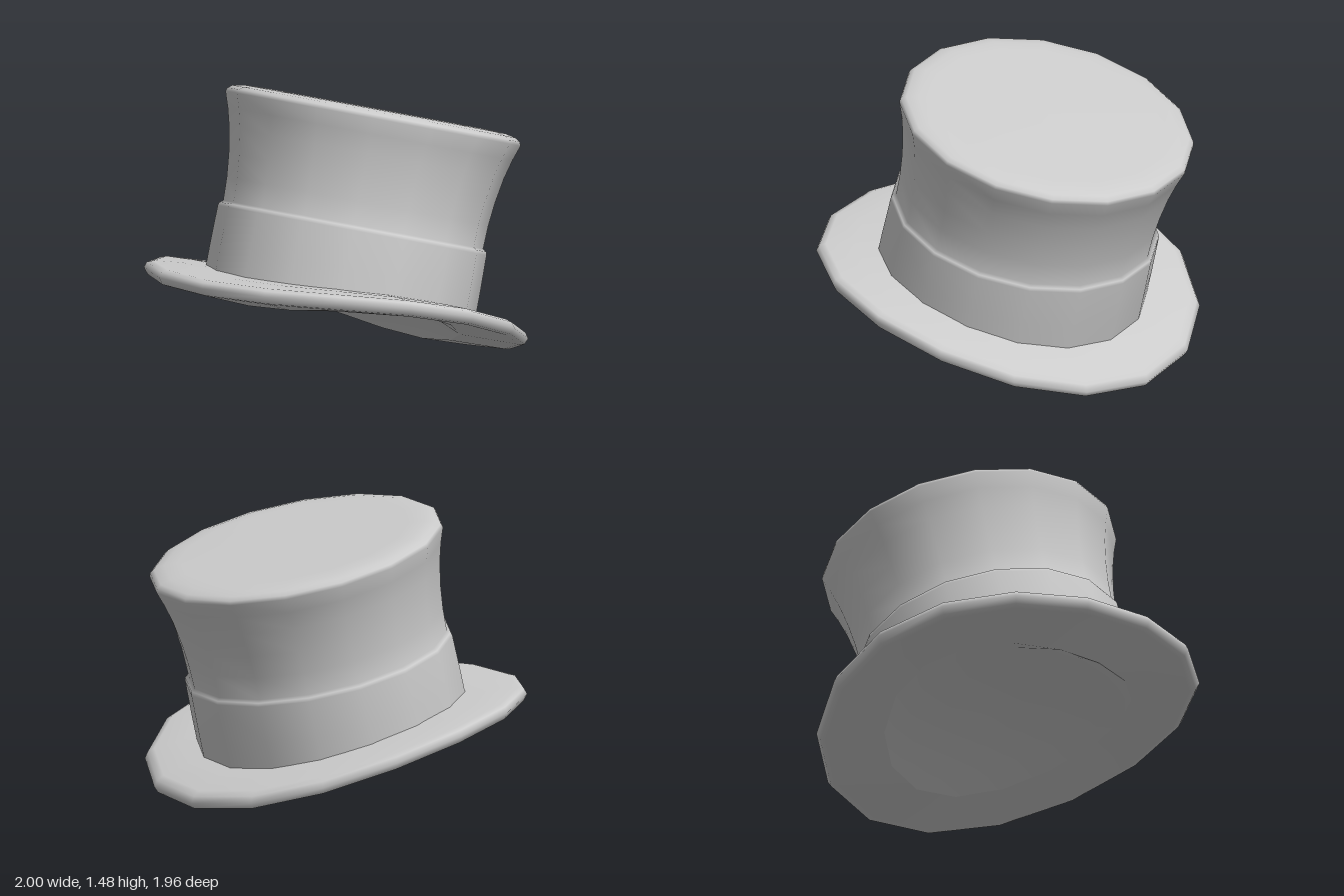
import * as THREE from 'three';

const SIDES = 16;
const material = new THREE.MeshStandardMaterial({ color: 0xcccccc });

// Saddle line of the brim: high at the front, drooping at the back
const brimHeight = (z) => 0.41 + 0.27 * z - 0.125 * z * z;

// Smooth surface through closed rings; each ring is [radius, lift(angle)]
function loft(rings) {
  const positions = [], index = [];
  rings.forEach(([r, lift], i) => {
    for (let j = 0; j < SIDES; j++) {
      const a = (j / SIDES) * Math.PI * 2;
      const z = 0.02 + r * 0.96 * Math.cos(a);
      positions.push(r * Math.sin(a), brimHeight(z) + lift(a), z);
      if (i === 0) continue;
      const k = (j + 1) % SIDES;
      const p = (i - 1) * SIDES, q = i * SIDES;
      index.push(p + j, p + k, q + k, p + j, q + k, q + j);
    }
  });
  const geometry = new THREE.BufferGeometry();
  geometry.setAttribute('position', new THREE.Float32BufferAttribute(positions, 3));
  geometry.setIndex(index);
  geometry.computeVertexNormals();
  return geometry;
}

export function createModel() {
  const group = new THREE.Group();
  const add = (name, geometry) => {
    const mesh = new THREE.Mesh(geometry, material);
    mesh.name = name;
    group.add(mesh);
    return mesh;
  };

  // Brim: underside, rounded edge, then top surface running in under the crown
  const flat = (y) => () => y;
  const rimLift = (a) => -0.045 - 0.065 * Math.cos(a) ** 2;
  add('brim', loft([
    [0.645, rimLift],
    [0.95, flat(-0.045)],
    [0.98, flat(-0.036)],
    [1.0, flat(0)],
    [0.985, flat(0.028)],
    [0.95, flat(0.038)],
    [0.8, flat(0.04)],
    [0.6, flat(0.04)],
  ]));

  // Shallow hollow where the head goes
  add('headOpening', loft([
    [0.001, flat(0.02)],
    [0.3, flat(0.015)],
    [0.52, (a) => 0.4 * rimLift(a)],
    [0.645, rimLift],
  ]));

  // Crown leaning back: hat band, small ledge, flared wall and rounded top
  const profile = [
    [0.7, -0.01], [0.7, 0.15], [0.697, 0.35], [0.692, 0.368], [0.674, 0.38],
    [0.678, 0.5], [0.69, 0.62], [0.712, 0.75], [0.738, 0.85], [0.765, 0.93],
    [0.758, 0.95], [0.735, 0.966], [0.68, 0.978], [0.6, 0.982], [0, 0.985],
  ].map(([r, y]) => new THREE.Vector2(r, y));
  const crown = add('crownWithBand', new THREE.LatheGeometry(profile, SIDES));
  crown.position.set(0, 0.38, -0.005);
  crown.rotation.x = -0.26;

  return group;
}
